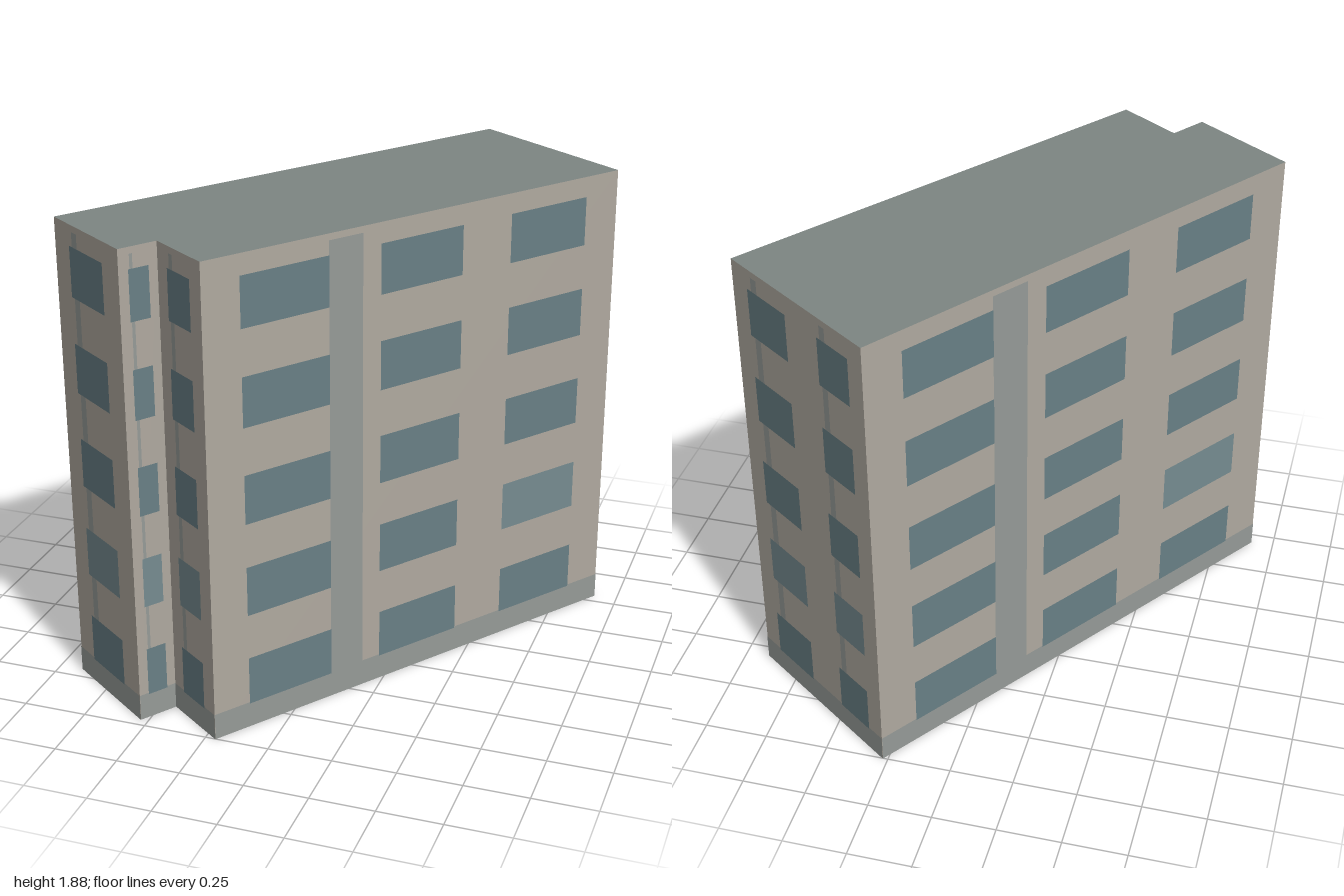
import * as THREE from 'three';

const HEIGHT = 1.88;
const PLINTH = 0.105;
const STRIP_TOP = 1.855;
const ROWS = [[0.1, 0.295], [0.475, 0.675], [0.85, 1.045], [1.23, 1.425], [1.605, 1.8]];

const paint = (color, side = THREE.FrontSide) => new THREE.MeshStandardMaterial({ color, side });

// Footprint corners (x, z)
const A = [0.27, -1], B = [0.905, -0.55], C = [-0.21, 1];
const D = [-0.44, 0.835], E = [-0.53, 0.965], F = [-0.905, 0.695];

// Window and strip spans as fractions of the wall width, left to right from outside
const LONG = { windows: [[0.081, 0.278], [0.398, 0.596], [0.718, 0.915]], strips: [[0.278, 0.356]] };
const END = { windows: [[0.125, 0.425], [0.67, 0.9]], strips: [[0.155, 0.2], [0.69, 0.73]] };
const NARROW = { windows: [[0.24, 0.76]], strips: [[0.28, 0.36]] };

const WALLS = [
  ['frontWall', C, B, LONG],
  ['rightEndWall', B, A, END],
  ['backWall', A, F, LONG],
  ['leftEndWall', F, E, NARROW],
  ['notchSideWall', E, D, NARROW],
  ['notchEndWall', D, C, NARROW],
];

export function createModel() {
  const model = new THREE.Group();
  model.name = 'apartmentBlock';
  const wallMat = paint(0xb0aaa0, THREE.DoubleSide);
  const roofMat = paint(0x7d8683, THREE.DoubleSide);
  const trimMat = paint(0x969b98);
  const glassMat = paint(0x698086);
  const paleGlassMat = paint(0x768c91);

  // Each wall is a flat sheet carrying thin surface panels
  for (const [name, from, to, layout] of WALLS) {
    const dx = to[0] - from[0], dz = to[1] - from[1];
    const width = Math.hypot(dx, dz);
    const wall = new THREE.Group();
    wall.name = name;
    wall.position.set((from[0] + to[0]) / 2, 0, (from[1] + to[1]) / 2);
    wall.rotation.y = Math.atan2(-dz, dx);

    const panel = (part, [t0, t1], [y0, y1], offset, material) => {
      const mesh = new THREE.Mesh(new THREE.PlaneGeometry((t1 - t0) * width, y1 - y0), material);
      mesh.name = part;
      mesh.position.set(((t0 + t1) / 2 - 0.5) * width, (y0 + y1) / 2, offset);
      wall.add(mesh);
    };

    panel('wallSheet', [0, 1], [0, HEIGHT], 0, wallMat);
    panel('plinth', [0, 1], [0, PLINTH], 0.0015, trimMat);
    for (const span of layout.strips) panel('verticalStrip', span, [PLINTH, STRIP_TOP], 0.0015, trimMat);
    layout.windows.forEach((span, col) => ROWS.forEach((rowSpan, row) => {
      const pale = row === 1 && (layout !== LONG || col === 2);
      panel('window', span, rowSpan, 0.003, pale ? paleGlassMat : glassMat);
    }));
    model.add(wall);
  }

  // Flat roof; the underside of the block stays open
  const outline = new THREE.Shape([C, B, A, F, E, D].map(([x, z]) => new THREE.Vector2(x, -z)));
  const roof = new THREE.Mesh(new THREE.ShapeGeometry(outline).rotateX(-Math.PI / 2), roofMat);
  roof.name = 'roof';
  roof.position.y = HEIGHT;
  model.add(roof);

  return model;
}
